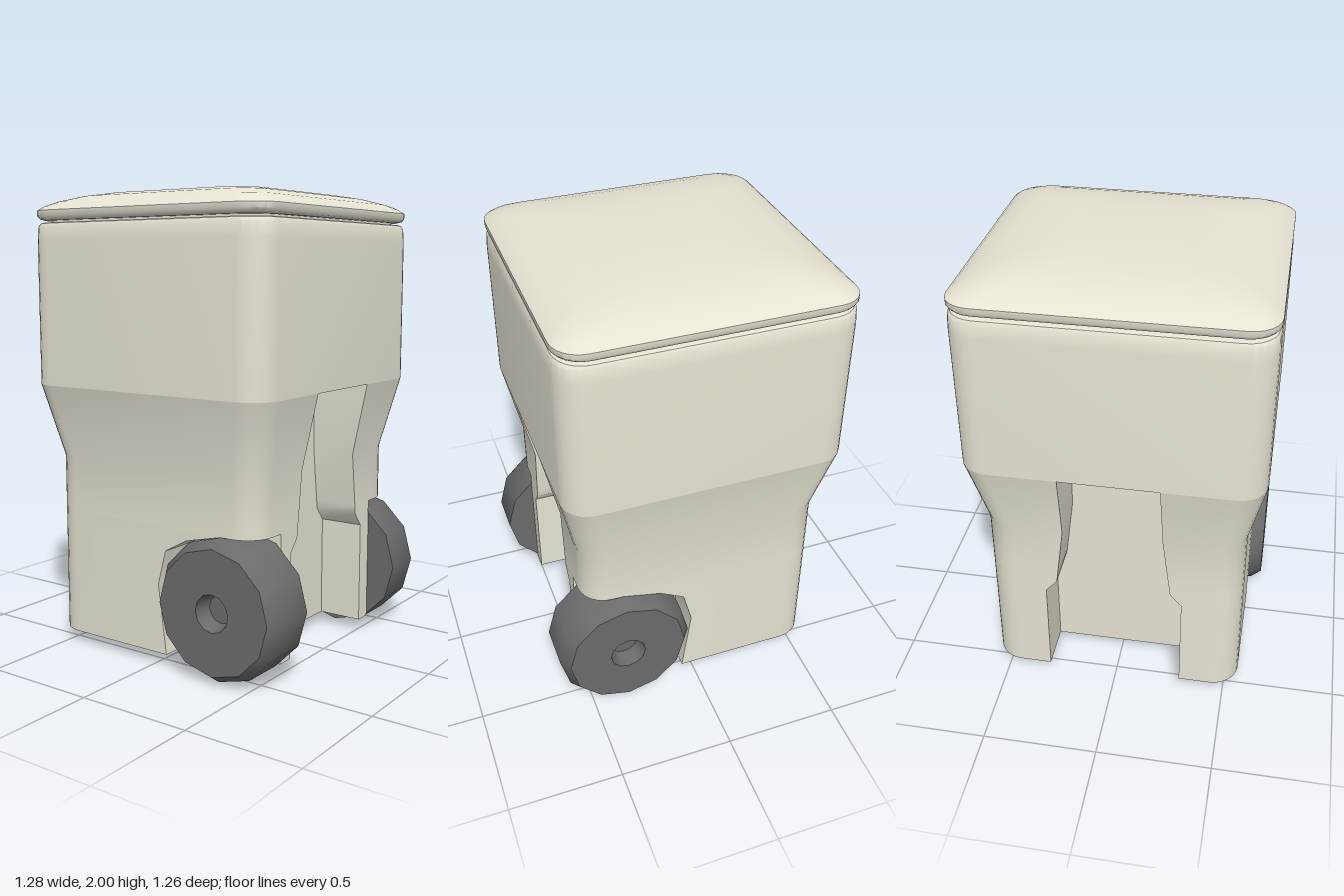
import * as THREE from 'three';
import { toCreasedNormals } from 'three/addons/utils/BufferGeometryUtils.js';

const CX = -0.03; // bin centre in x
const cream = new THREE.MeshStandardMaterial({ color: 0xe6e3d3 });
const dark = new THREE.MeshStandardMaterial({ color: 0x6b6b6b });

// Quarter-round corner in the +z half, around centre (cx, cz), from angle a0 to a0 + 90 degrees
function corner(cx, cz, r, a0) {
  const pts = [];
  for (let i = 0; i <= 6; i++) {
    const a = a0 + (i / 6) * Math.PI / 2;
    pts.push([cx + r * Math.cos(a), cz + r * Math.sin(a)]);
  }
  return pts;
}

// Cross-section: rounded rectangle hx by hz, optional side recesses (half width w)
// and optional wheel arches cutting the +x corners back to x = ax
function section({ hx, hz, r = 0.12, w = 0, ax = null }) {
  const depth = 0.34, archZ = 0.375;
  const half = [];
  if (w) half.push([CX + depth, w], [CX + hx, w]);
  if (ax !== null) half.push([CX + hx, archZ], [ax, archZ], [ax, hz]);
  else half.push(...corner(CX + hx - r, hz - r, r, 0));
  half.push(...corner(CX - hx + r, hz - r, r, Math.PI / 2));
  if (w) half.push([CX - hx, w], [CX - depth, w]);
  return [...half, ...half.map(([x, z]) => [x, -z]).reverse()];
}

// Walls between successive cross-sections, closed at both ends
function loft(levels, crease = 0.6) {
  const pos = [];
  const rings = levels.map(l => section(l).map(([x, z]) => [x, l.y, z]));
  for (let k = 0; k < rings.length - 1; k++) {
    const lo = rings[k], hi = rings[k + 1], n = lo.length;
    for (let i = 0; i < n; i++) {
      const j = (i + 1) % n;
      pos.push(...lo[i], ...hi[i], ...lo[j], ...lo[j], ...hi[i], ...hi[j]);
    }
  }
  for (const [ring, sign] of [[rings[0], 1], [rings.at(-1), -1]]) {
    const shape = new THREE.Shape(ring.map(p => new THREE.Vector2(p[0], sign * p[2])));
    const cap = new THREE.ShapeGeometry(shape).rotateX(sign * Math.PI / 2)
      .translate(0, ring[0][1], 0).toNonIndexed();
    for (const v of cap.attributes.position.array) pos.push(v);
  }
  const g = new THREE.BufferGeometry();
  g.setAttribute('position', new THREE.Float32BufferAttribute(pos, 3));
  return toCreasedNormals(g, crease);
}

function add(group, name, geometry, material) {
  const m = new THREE.Mesh(geometry, material);
  m.name = name;
  group.add(m);
  return m;
}

export function createModel() {
  const bin = new THREE.Group();
  bin.name = 'wheeledBin';
  const low = { hx: 0.54, hz: 0.56 }, high = { hx: 0.61, hz: 0.63 };

  // Base with side recesses and wheel arches: [y, recess half width, arch x]
  const base = [[0.05, 0.3, 0.06], [0.35, 0.3, 0.02], [0.5, 0.3, 0.06],
    [0.56, 0.25, 0.17], [0.6, 0.245, 0.34]];
  add(bin, 'base', loft(base.map(([y, w, ax]) => ({ ...low, y, w, ax }))), cream);

  // Waist flaring outwards, still recessed
  add(bin, 'waist', loft([
    { ...low, y: 0.6, w: 0.245 },
    { ...low, y: 0.84, w: 0.215 },
    { ...high, y: 1.16, w: 0.21 },
  ]), cream);

  // Upper body with a softened rim, and the narrow neck under the lid
  const inset = (y, i) => {
    const hx = high.hx - i, hz = high.hz - i;
    return { y, hx, hz, r: Math.min(0.12, hx * 0.5) };
  };
  add(bin, 'upperBody', loft([[1.16, 0], [1.78, 0], [1.84, 0.003], [1.853, 0.01], [1.857, 0.02]]
    .map(([y, i]) => inset(y, i))), cream);
  add(bin, 'neck', loft([inset(1.85, 0.045), inset(1.88, 0.045)]), cream);

  // Pillow-shaped lid
  add(bin, 'lid', loft([[1.866, 0.025], [1.872, 0.008], [1.885, 0], [1.908, 0], [1.925, 0.02],
    [1.945, 0.06], [1.97, 0.14], [1.986, 0.23], [1.996, 0.34], [2, 0.48], [2, 0.59]]
    .map(([y, i]) => inset(y, i)), 0.75), cream);

  // Twelve-sided wheels with an outer chamfer and a hub hollow
  const profile = [[0, 0], [0.3, 0], [0.3, 0.19], [0.265, 0.24], [0.08, 0.24], [0.06, 0.17], [0, 0.17]]
    .map(([r, y]) => new THREE.Vector2(r, y));
  const wheel = toCreasedNormals(new THREE.LatheGeometry(profile, 12), 0.8);
  for (const [name, side] of [['frontWheel', 1], ['backWheel', -1]]) {
    const m = add(bin, name, wheel, dark);
    m.rotation.x = side * Math.PI / 2;
    m.position.set(0.34, 0.3, side * 0.38);
  }
  return bin;
}
